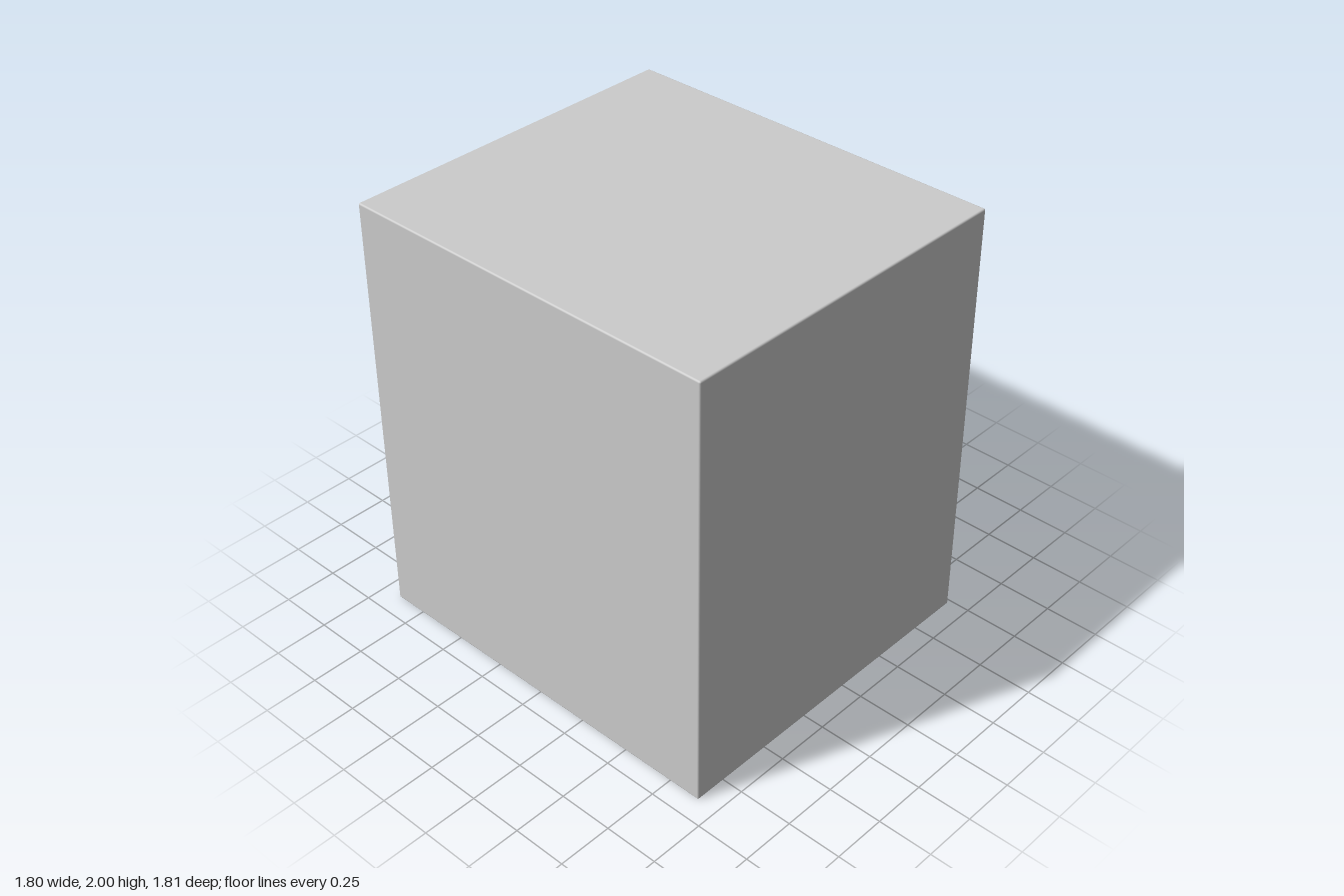
import * as THREE from 'three';
import { RoundedBoxGeometry } from 'three/addons/geometries/RoundedBoxGeometry.js';

const FRONT = 0.73;  // x of the cabinet face that carries the drawers
const PANEL = 0.79;  // x of the drawer panel faces

// Mirror half an outline (x, z) to the other side of z = 0
const mirrored = (half) => [...half, ...half.map(([x, z]) => [x, -z]).reverse()];

// Faceted bow handle, flat plan extruded upwards and centred on y = 0
function handleGeometry(height) {
  const outer = mirrored([[PANEL, 0.255], [0.848, 0.193], [0.9, 0.07]]);
  const inner = mirrored([[PANEL, 0.11], [0.815, 0.105], [0.858, 0.035]]).reverse();
  const shape = new THREE.Shape([...outer, ...inner].map(([x, z]) => new THREE.Vector2(x, z)));
  const geometry = new THREE.ExtrudeGeometry(shape, { depth: height, bevelEnabled: false });
  return geometry.translate(0, 0, -height / 2).rotateX(-Math.PI / 2);
}

export function createModel() {
  const group = new THREE.Group();
  const material = new THREE.MeshStandardMaterial({ color: 0xcccccc });
  const add = (parent, name, geometry, x, y) => {
    const mesh = new THREE.Mesh(geometry, material);
    mesh.name = name;
    mesh.position.set(x, y, 0);
    parent.add(mesh);
  };

  // Cabinet with slightly eased edges
  add(group, 'cabinet', new RoundedBoxGeometry(1.63, 2, 1.81, 2, 0.008), -0.085, 1);

  // Drawers from bottom to top: panel bottom, panel top, handle height
  const drawers = [
    [0.075, 0.5, 0.038],
    [0.51, 1.0, 0.06],
    [1.01, 1.5, 0.06],
    [1.51, 1.935, 0.038],
  ];
  drawers.forEach(([bottom, top, handleHeight], i) => {
    const drawer = new THREE.Group();
    drawer.name = `drawer${i + 1}`;
    const middle = (bottom + top) / 2;
    const panel = new THREE.BoxGeometry(PANEL - FRONT, top - bottom, 1.69);
    add(drawer, 'drawerPanel', panel, (FRONT + PANEL) / 2, middle);
    add(drawer, 'handle', handleGeometry(handleHeight), 0, middle);
    group.add(drawer);
  });

  return group;
}
